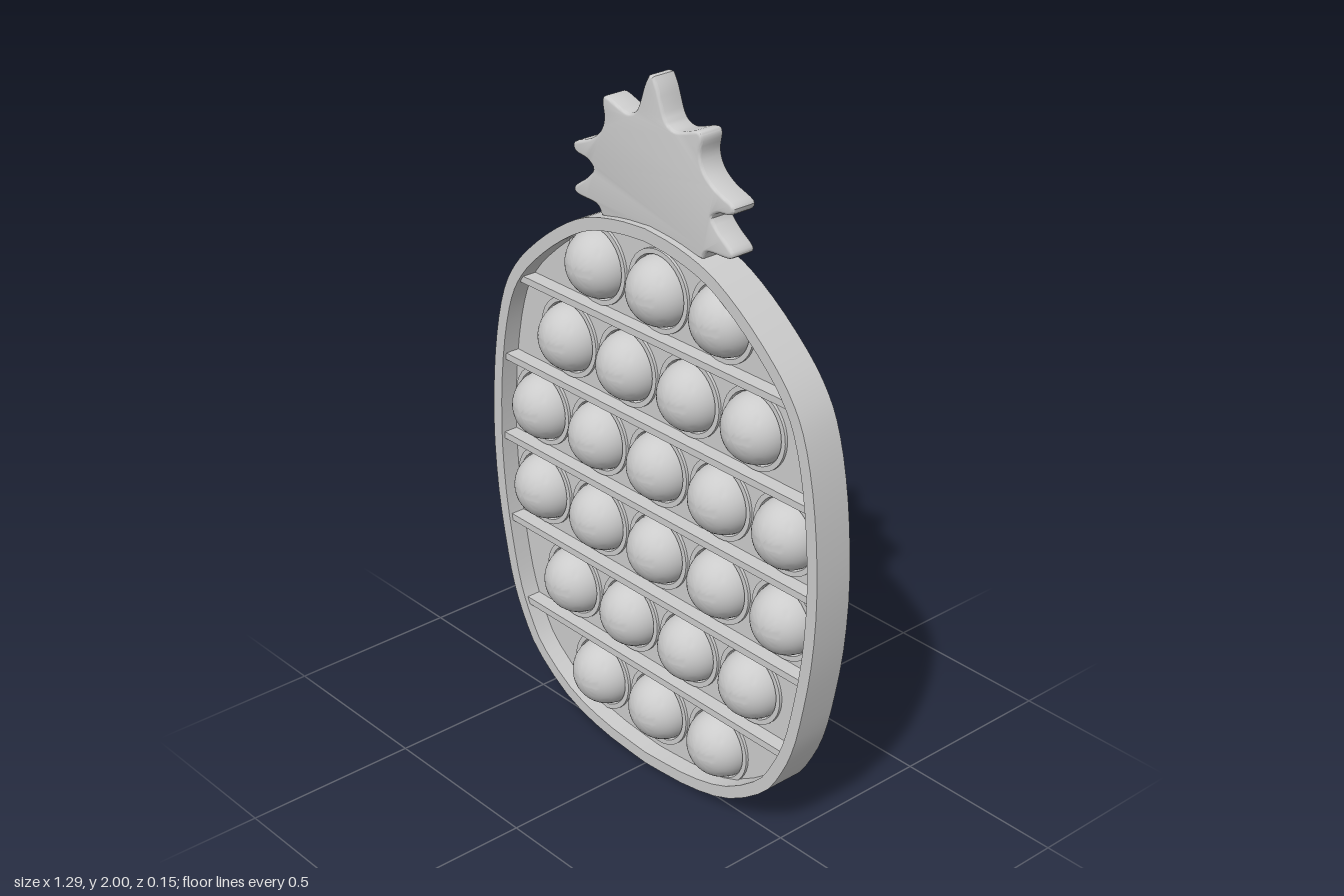
import * as THREE from 'three';
import { toCreasedNormals } from 'three/addons/utils/BufferGeometryUtils.js';

const material = new THREE.MeshStandardMaterial({ color: 0xcccccc });
const WALL = 0.035;

// Right half of the body outline, bottom to top
const BODY = [[0, 0], [0.18, 0.015], [0.335, 0.058], [0.468, 0.148], [0.53, 0.235], [0.574, 0.333],
  [0.605, 0.46], [0.632, 0.62], [0.643, 0.8], [0.634, 0.98], [0.612, 1.13], [0.58, 1.245],
  [0.54, 1.32], [0.48, 1.39], [0.38, 1.475], [0.28, 1.54], [0.2, 1.573], [0.1, 1.595], [0, 1.604]];

// Right half of the leaf crown, base to tip
const CROWN = [[0.19, 1.575], [0.21, 1.6], [0.285, 1.605], [0.297, 1.625], [0.25, 1.66], [0.222, 1.692],
  [0.245, 1.712], [0.29, 1.72], [0.297, 1.745], [0.235, 1.77], [0.195, 1.8], [0.178, 1.84],
  [0.184, 1.885], [0.168, 1.9], [0.11, 1.882], [0.078, 1.88], [0.05, 1.9], [0.025, 1.965], [0.008, 1.996]];

// [y, number of bubbles, x shift]
const ROWS = [[1.42, 3, 0], [1.167, 4, 0], [0.917, 5, 0], [0.667, 5, 0], [0.417, 4, 0.005], [0.17, 3, 0.004]];
const RIBS = [1.297, 1.04, 0.79, 0.537, 0.29];

const vec = ([x, y]) => new THREE.Vector2(x, y);

// Smooth a half outline and mirror it to a closed counter-clockwise loop
function mirroredLoop(half, samples) {
  const right = new THREE.SplineCurve(half.map(vec)).getPoints(samples);
  const left = right.map((p) => new THREE.Vector2(-p.x, p.y)).reverse();
  return right.concat(left.filter((p) => Math.abs(p.x) > 1e-4));
}

// Move a counter-clockwise loop inward
function inset(loop, d) {
  return loop.map((p, i) => {
    const a = loop[(i + loop.length - 1) % loop.length];
    const b = loop[(i + 1) % loop.length];
    const t = b.clone().sub(a).normalize();
    return new THREE.Vector2(p.x - t.y * d, p.y + t.x * d);
  });
}

function slab(shape, z0, z1, bevel = 0) {
  const geo = new THREE.ExtrudeGeometry(shape, {
    depth: z1 - z0 - 2 * bevel, curveSegments: 32, bevelEnabled: bevel > 0,
    bevelThickness: bevel, bevelSize: bevel, bevelOffset: -bevel, bevelSegments: 3,
  });
  geo.translate(0, 0, z0 + bevel);
  return toCreasedNormals(geo, 0.6);
}

// Hollow dome with a raised collar around its foot
function bubbleGeometry() {
  const arc = (r, from, to, n) => Array.from({ length: n + 1 }, (_, i) => {
    const a = from + (to - from) * i / n;
    return new THREE.Vector2(Math.max(0, Math.cos(a) * r), -0.022 + Math.sin(a) * r);
  });
  const top = Math.PI / 2;
  const profile = [
    ...arc(0.087, top, 0, 9),
    ...[[0.098, -0.04], [0.114, -0.04], [0.114, -0.004], [0.1, -0.004]].map(vec),
    ...arc(0.097, 0.1, top, 11),
  ];
  return toCreasedNormals(new THREE.LatheGeometry(profile, 36).rotateX(Math.PI / 2), 0.6);
}

// Half width of the body at a given height
function halfWidth(y) {
  const i = BODY.findIndex((p) => p[1] >= y);
  const [a, b] = [BODY[i - 1], BODY[i]];
  return a[0] + (b[0] - a[0]) * (y - a[1]) / (b[1] - a[1]);
}

export function createModel() {
  const model = new THREE.Group();
  model.name = 'pineappleBubbleToy';
  const add = (geo, name, parent = model) => {
    const mesh = new THREE.Mesh(geo, material);
    mesh.name = name;
    parent.add(mesh);
    return mesh;
  };

  // Outer rim
  const outer = mirroredLoop(BODY, 44);
  const inner = inset(outer, WALL);
  const rim = new THREE.Shape(outer);
  rim.holes.push(new THREE.Path(inner));
  add(slab(rim, -0.075, 0.04), 'rim');

  // Thin sheet pierced at every bubble, and the bubbles
  const sheet = new THREE.Shape(inset(outer, WALL - 0.005));
  const bubbles = new THREE.Group();
  bubbles.name = 'bubbles';
  model.add(bubbles);
  const bubble = bubbleGeometry();
  for (const [y, count, shift] of ROWS) {
    for (let i = 0; i < count; i++) {
      const x = (i - (count - 1) / 2) * 0.24 + shift;
      sheet.holes.push(new THREE.Path().absarc(x, y, 0.105, 0, Math.PI * 2, true));
      add(bubble, 'bubble', bubbles).position.set(x, y, 0);
    }
  }
  add(slab(sheet, -0.032, -0.012), 'sheet');

  // Ribs between the rows
  for (const y of RIBS) {
    const width = 2 * (halfWidth(y) - WALL + 0.005);
    add(new THREE.BoxGeometry(width, 0.02, 0.095), 'rib').position.set(0, y, -0.0175);
  }

  // Leaf crown
  add(slab(new THREE.Shape(mirroredLoop(CROWN, 72)), -0.055, 0.02, 0.008), 'leafCrown');
  return model;
}
